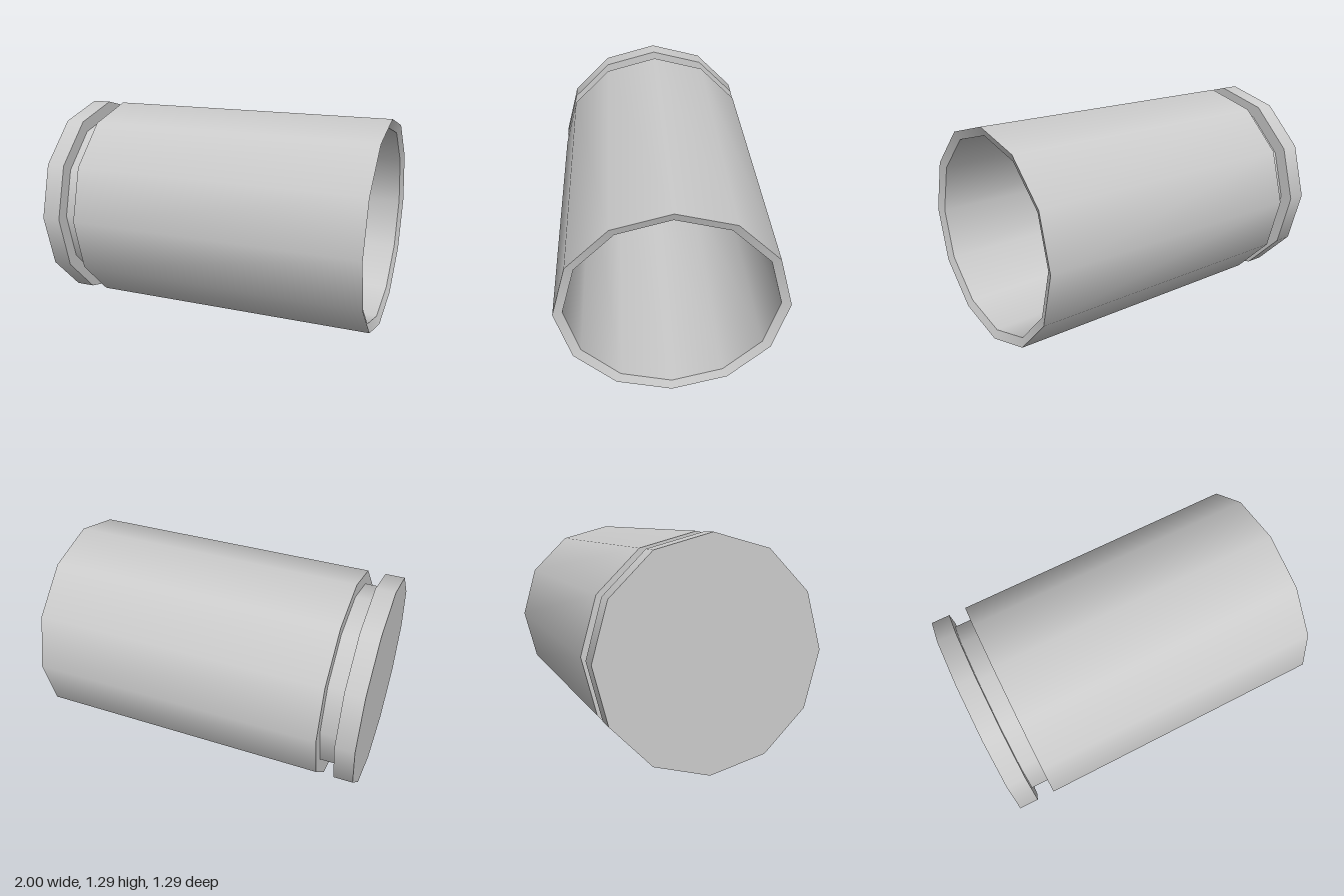
import * as THREE from 'three';
import { mergeGeometries } from 'three/addons/utils/BufferGeometryUtils.js';

const SIDES = 12;
const RADIUS = 0.645;

// Revolve a profile of [radius, x] points about the x axis:
// smooth around the axis, sharp at every profile corner.
function revolve(name, profile, material) {
  const bands = [];
  for (let i = 0; i < profile.length - 1; i++) {
    const points = [profile[i], profile[i + 1]].map(([r, x]) => new THREE.Vector2(r, x));
    const band = new THREE.LatheGeometry(points, SIDES);
    band.normalizeNormals();
    bands.push(band);
  }
  const geometry = mergeGeometries(bands);
  geometry.rotateZ(-Math.PI / 2);
  const mesh = new THREE.Mesh(geometry, material);
  mesh.name = name;
  mesh.position.y = RADIUS;
  return mesh;
}

export function createModel() {
  const group = new THREE.Group();
  group.name = 'hollowCasing';
  const grey = new THREE.MeshStandardMaterial({ color: 0xcccccc });

  // Closed end with its flat base and rim
  group.add(revolve('baseRim', [[0, -1], [RADIUS, -1], [RADIUS, -0.885], [0.565, -0.885]], grey));
  // Narrow groove between rim and body
  group.add(revolve('groove', [[0.565, -0.885], [0.565, -0.78]], grey));
  // Outer wall with its shoulder
  group.add(revolve('body', [[0.565, -0.78], [RADIUS, -0.78], [RADIUS, 1]], grey));
  // Lip sloping inward at the open end
  group.add(revolve('mouthLip', [[RADIUS, 1], [0.593, 0.98]], grey));
  // Slightly tapered bore and its floor
  group.add(revolve('bore', [[0.593, 0.98], [0.57, -0.74], [0, -0.74]], grey));

  return group;
}
